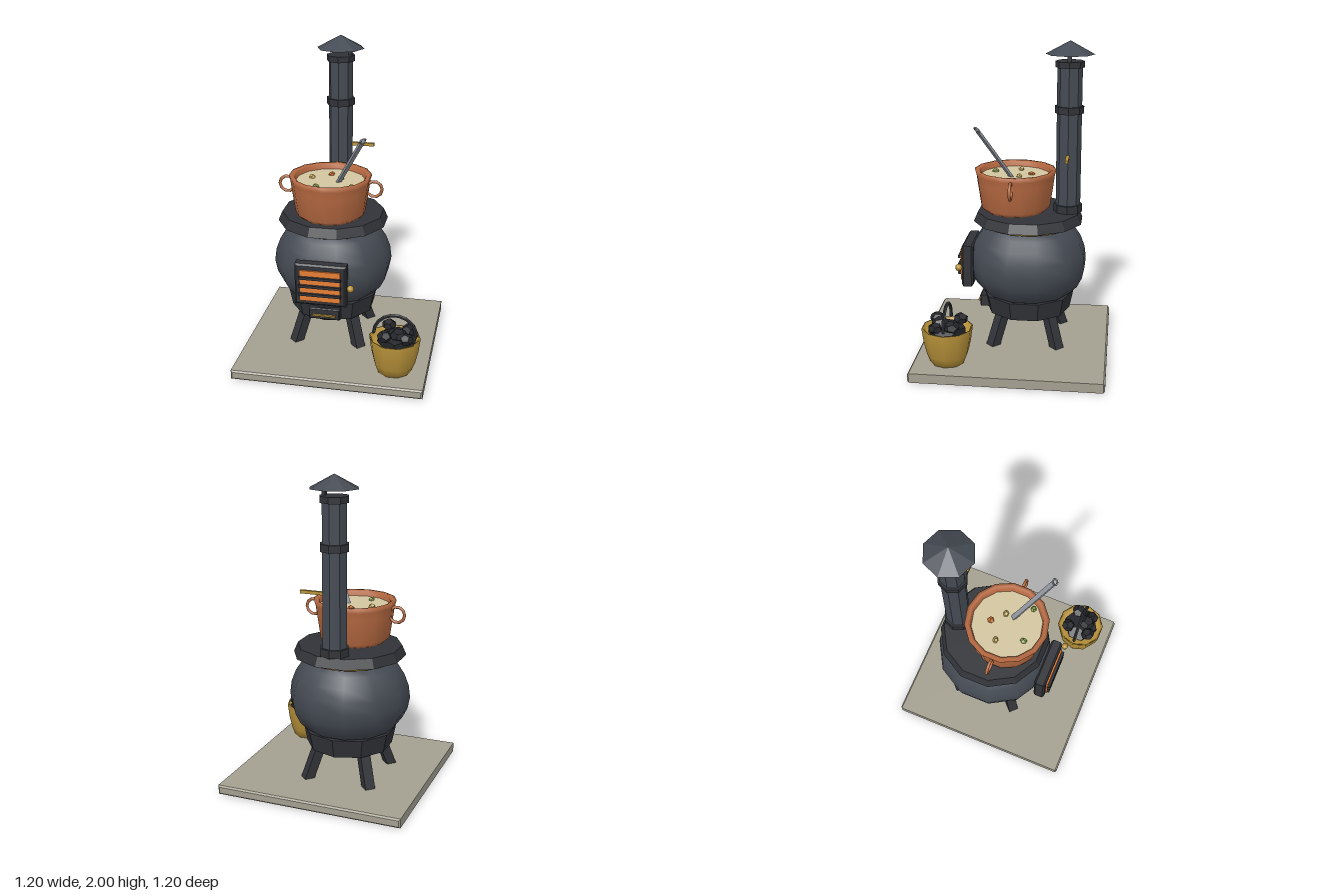
import * as THREE from 'three';

const IRON = 0x454b54, DARK = 0x313338, COPPER = 0xb96b42, GOLD = 0xb8923a, EMBER = 0xe67e35,
  SOUP = 0xd3c5a0, STEEL = 0x8f959e, STONE = 0xa39f90, COAL = 0x25262b;
const CX = -0.08, CZ = -0.07, FLAT = Math.PI / 12;

export function createModel() {
  const root = new THREE.Group();

  const add = (name, geo, color, pos = [0, 0, 0], flat = true, parent = root) => {
    const mat = new THREE.MeshStandardMaterial({ color, flatShading: flat, side: THREE.DoubleSide });
    const mesh = new THREE.Mesh(geo, mat);
    mesh.name = name;
    mesh.position.set(...pos);
    parent.add(mesh);
    return mesh;
  };
  const box = (name, w, h, d, color, pos) => add(name, new THREE.BoxGeometry(w, h, d), color, pos);
  const cyl = (name, rt, rb, h, n, color, pos, start = 0) =>
    add(name, new THREE.CylinderGeometry(rt, rb, h, n, 1, false, start), color, pos);
  const lathe = (name, pts, n, color, pos, flat, start = 0) =>
    add(name, new THREE.LatheGeometry(pts.map(p => new THREE.Vector2(...p)), n, start), color, pos, flat);
  // box with chamfered edges, centred on its position
  const chamferBox = (name, w, h, d, c, color, pos) => {
    const a = w / 2 - c, b = h / 2 - c;
    const s = new THREE.Shape([[-a, -b], [a, -b], [a, b], [-a, b]].map(p => new THREE.Vector2(...p)));
    const g = new THREE.ExtrudeGeometry(s, { depth: d - 2 * c, bevelSize: c, bevelThickness: c, bevelSegments: 1 });
    g.translate(0, 0, -d / 2 + c);
    return add(name, g, color, pos);
  };

  // stone slab
  chamferBox('hearthSlab', 1.2, 0.06, 1.2, 0.01, STONE, [0, 0.03, 0]);

  // splayed legs
  for (const sx of [-1, 1]) for (const sz of [-1, 1]) {
    const g = new THREE.BoxGeometry(0.065, 0.24, 0.065);
    g.rotateY(Math.PI / 4);
    const p = g.attributes.position;
    for (let i = 0; i < p.count; i++) {
      const k = 0.033 * (p.getY(i) > 0 ? -1 : 1);
      p.setX(i, p.getX(i) + sx * k);
      p.setZ(i, p.getZ(i) + sz * k);
    }
    add('leg', g, DARK, [CX + sx * 0.172, 0.18, CZ + sz * 0.172]);
  }

  // stove body
  cyl('bodyBase', 0.297, 0.272, 0.12, 10, DARK, [CX, 0.318, CZ]);
  lathe('stoveBelly', [[0, 0.345], [0.2, 0.345], [0.285, 0.385], [0.335, 0.435], [0.368, 0.5], [0.383, 0.575],
    [0.373, 0.655], [0.345, 0.73], [0.302, 0.795], [0.24, 0.845], [0, 0.85]], 12, IRON, [CX, 0, CZ], false, FLAT);
  const ring = new THREE.TorusGeometry(0.285, 0.018, 6, 24).rotateX(Math.PI / 2);
  add('brassRing', ring, GOLD, [CX, 0.85, CZ], false);
  cyl('topPlate', 0.328, 0.354, 0.06, 12, DARK, [CX, 0.888, CZ], FLAT);

  // fire door with glowing grate
  chamferBox('fireDoor', 0.325, 0.275, 0.075, 0.012, DARK, [CX, 0.572, 0.308]);
  box('emberPanel', 0.256, 0.204, 0.02, EMBER, [CX, 0.57, 0.347]);
  for (let i = -1; i <= 1; i++) box('grateBar', 0.266, 0.017, 0.017, DARK, [CX, 0.571 + i * 0.055, 0.364]);
  add('doorKnob', new THREE.SphereGeometry(0.023, 8, 6), GOLD, [0.113, 0.575, 0.357], false);

  // ash drawer
  chamferBox('ashDrawer', 0.2, 0.075, 0.09, 0.006, DARK, [CX, 0.318, 0.19]);
  box('drawerPull', 0.15, 0.01, 0.018, GOLD, [CX, 0.311, 0.241]);

  // chimney
  const CHZ = -0.322;
  cyl('chimneyPipe', 0.078, 0.078, 0.96, 8, IRON, [CX, 1.39, CHZ]);
  for (const [y, h] of [[0.945, 0.05], [1.577, 0.045], [1.857, 0.038]])
    cyl('chimneyCollar', 0.091, 0.091, h, 8, DARK, [CX, y, CHZ]);
  box('capStrut', 0.022, 0.07, 0.026, DARK, [-0.018, 1.9, CHZ]);
  cyl('chimneyCap', 0, 0.152, 0.082, 8, IRON, [CX, 1.959, CHZ]);
  box('damperHandle', 0.16, 0.02, 0.02, GOLD, [0.06, 1.292, CHZ]);

  // cooking pot
  const PZ = 0.015;
  lathe('pot', [[0, 0.918], [0.187, 0.918], [0.222, 0.947], [0.246, 1.11], [0.252, 1.155], [0.262, 1.185],
    [0.24, 1.187], [0.225, 1.178], [0.216, 1.12]], 14, COPPER, [CX, 0, PZ], false);
  const soup = new THREE.CircleGeometry(0.226, 14).rotateX(-Math.PI / 2);
  add('soup', soup, SOUP, [CX, 1.15, PZ]);
  for (const s of [-1, 1])
    add('potHandle', new THREE.TorusGeometry(0.05, 0.01, 6, 10), COPPER, [CX + s * 0.278, 1.11, PZ], false);
  [[-0.094, -0.087, 0xc9702f], [-0.203, -0.01, 0xc9ae62], [-0.02, -0.016, 0xc9ae62],
    [-0.142, 0.15, 0x86a04c], [0.074, 0.13, 0x86a04c]].forEach(([x, z, c], i) => {
    const m = add('soupChunk', new THREE.DodecahedronGeometry(0.022, 0), c, [x, 1.152, z]);
    m.rotation.set(i, i * 2, 0.4);
    m.scale.y = 0.8;
  });

  // ladle, leaning towards the front left of the pot
  const a = new THREE.Vector3(-0.035, 1.13, 0.025), b = new THREE.Vector3(0.15, 1.47, 0.215);
  const ladle = new THREE.Group();
  ladle.name = 'ladle';
  ladle.position.copy(a);
  const axis = b.clone().sub(a), len = axis.length();
  const up = axis.normalize(), side = new THREE.Vector3(1, 0, -1).normalize();
  const out = new THREE.Vector3().crossVectors(side, up).normalize();
  ladle.quaternion.setFromRotationMatrix(new THREE.Matrix4().makeBasis(side, up, out));
  add('ladleShaft', new THREE.BoxGeometry(0.03, len, 0.016), STEEL, [0, len / 2, 0], true, ladle);
  add('ladleRing', new THREE.TorusGeometry(0.019, 0.006, 5, 8), STEEL, [0, len + 0.017, 0], false, ladle);
  root.add(ladle);

  // coal bucket
  const BX = 0.397, BZ = 0.383;
  lathe('bucket', [[0, 0.062], [0.108, 0.062], [0.13, 0.12], [0.148, 0.2], [0.16, 0.29], [0.15, 0.29],
    [0.135, 0.25], [0, 0.25]], 10, GOLD, [BX, 0, BZ], false, Math.PI / 2);
  const arc = new THREE.TorusGeometry(0.132, 0.011, 5, 9, Math.PI);
  add('bucketHandle', arc, DARK, [BX, 0.305, BZ]);
  [[0.41, 0.275, 0.383, 0.125, 0.45], [0.35, 0.33, 0.305, 0.046, 0.8], [0.342, 0.325, 0.455, 0.046, 0.8],
    [0.482, 0.325, 0.34, 0.05, 0.75], [0.425, 0.325, 0.42, 0.055, 0.7], [0.475, 0.31, 0.44, 0.045, 0.8]]
    .forEach(([x, y, z, r, sy], i) => {
      const g = new THREE.DodecahedronGeometry(r, 0);
      g.rotateX(i * 0.9).rotateZ(i * 1.3).scale(1, sy, 1);
      add('coal', g, COAL, [x, y, z]);
    });

  return root;
}
